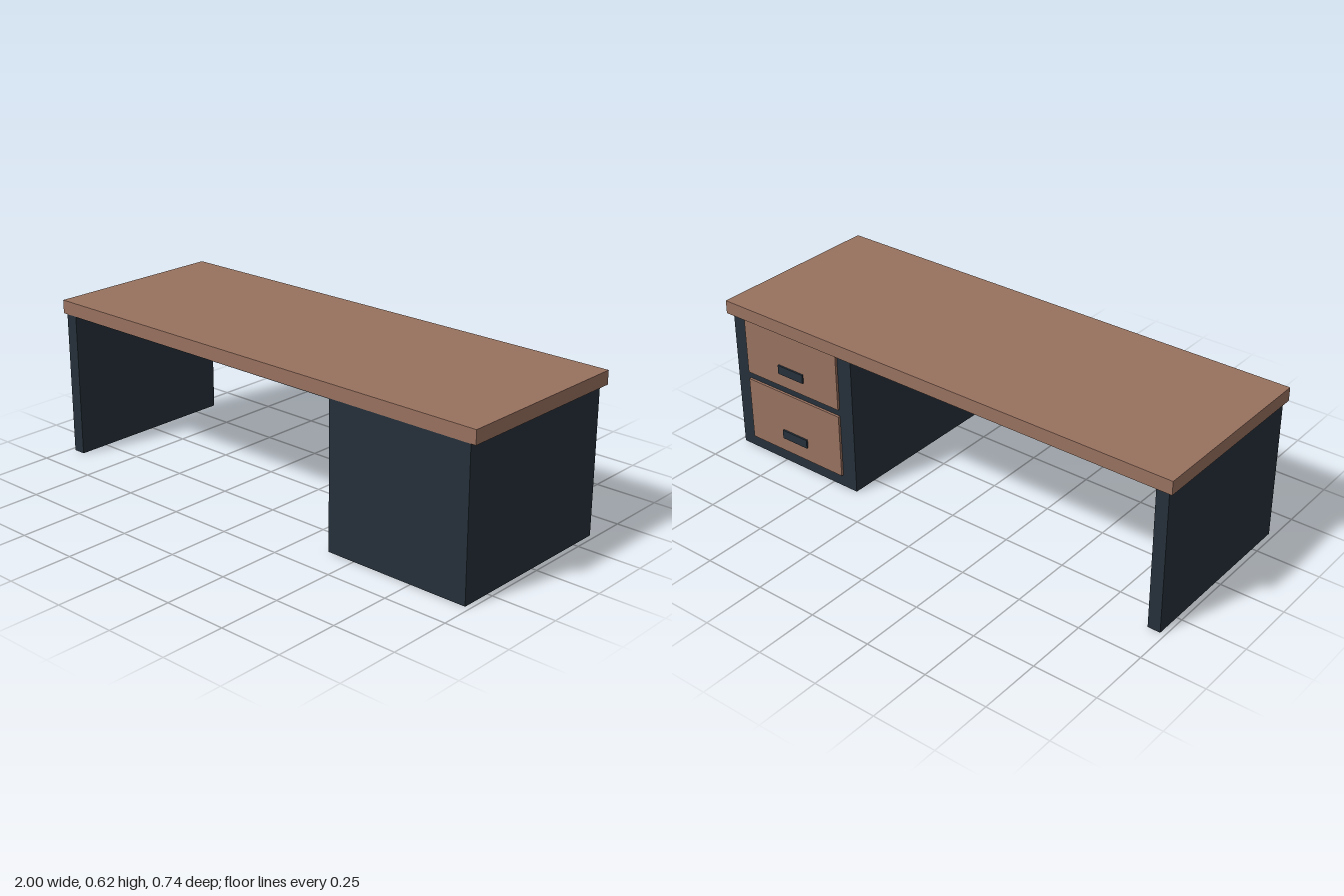
import * as THREE from 'three';

export function createModel() {
  const desk = new THREE.Group();
  desk.name = 'desk';

  const wood = new THREE.MeshStandardMaterial({ color: 0x98715f });
  wood.name = 'brown wood';
  const dark = new THREE.MeshStandardMaterial({ color: 0x253039 });
  dark.name = 'dark slate';

  // Adds a box given its minimum and maximum along each axis
  function box(name, material, [x0, x1], [y0, y1], [z0, z1], parent = desk) {
    const mesh = new THREE.Mesh(new THREE.BoxGeometry(x1 - x0, y1 - y0, z1 - z0), material);
    mesh.position.set((x0 + x1) / 2, (y0 + y1) / 2, (z0 + z1) / 2);
    mesh.name = name;
    parent.add(mesh);
    return mesh;
  }

  const topY = 0.57;
  const back = -0.353;
  const depth = [back, 0.37];

  // Worktop with a dark lining underneath
  box('worktop', wood, [-1, 1], [topY, 0.623], [-0.37, 0.371]);
  box('undersideLining', dark, [-0.93, 0.385], [topY - 0.002, topY], depth);

  // Supports
  box('sidePanel', dark, [-0.98, -0.93], [0, topY], depth);
  box('drawerCabinet', dark, [0.385, 0.98], [0, topY], depth);

  // Drawers, each with a small bar handle
  const drawers = [
    { name: 'lowerDrawer', y: [0.05, 0.31], handleY: 0.127 },
    { name: 'upperDrawer', y: [0.34, topY], handleY: 0.413 },
  ];
  for (const { name, y, handleY } of drawers) {
    const drawer = new THREE.Group();
    drawer.name = name;
    desk.add(drawer);
    box('drawerFront', wood, [0.45, 0.915], y, [back - 0.01, back], drawer);
    box('drawerHandle', dark, [0.62, 0.745], [handleY - 0.018, handleY + 0.018], [-0.37, back - 0.01], drawer);
  }

  return desk;
}
